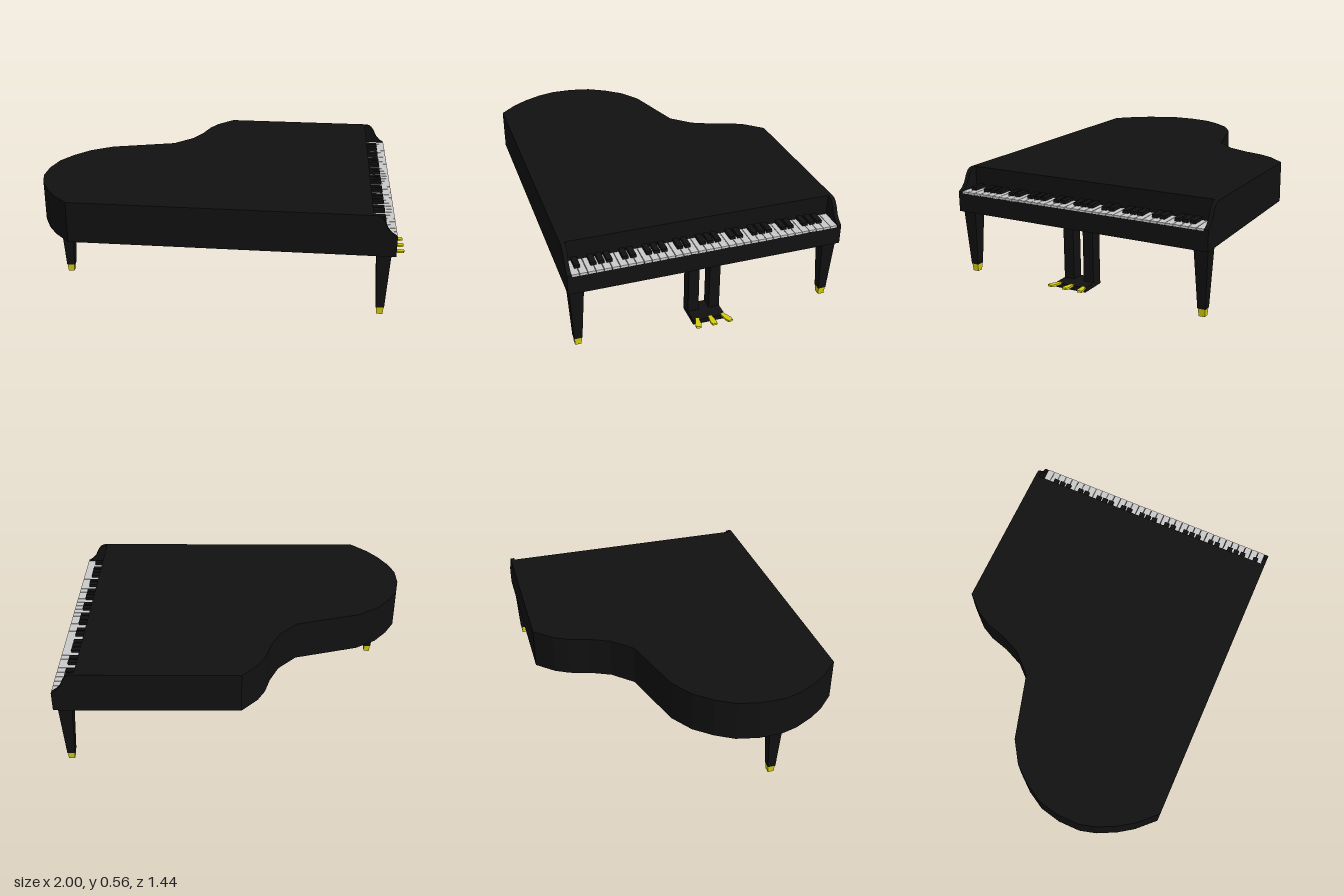
import * as THREE from 'three';

const material = (color) => new THREE.MeshStandardMaterial({ color, flatShading: true });

export function createModel() {
  const piano = new THREE.Group();
  piano.name = 'grandPiano';
  const black = material(0x111111);
  const gold = material(0xd8d010);
  const ivory = material(0xcccccc);

  function add(name, geometry, mat, x = 0, y = 0, z = 0, parent = piano) {
    const mesh = new THREE.Mesh(geometry, mat);
    mesh.name = name;
    mesh.position.set(x, y, z);
    parent.add(mesh);
    return mesh;
  }
  const extrude = (points, depth) => new THREE.ExtrudeGeometry(
    new THREE.Shape(points.map(([x, y]) => new THREE.Vector2(x, y))),
    { depth, bevelEnabled: false });

  // Curved case, drawn in plan (x, z) and raised to the lid
  const outline = [
    [0.767, -0.722], [-0.075, -0.722], [-0.16, -0.63], [-0.2, -0.555], [-0.23, -0.45],
    [-0.28, -0.34], [-0.38, -0.235], [-0.73, -0.135], [-0.845, -0.06], [-0.92, 0.03],
    [-0.975, 0.125], [-1, 0.24], [-1, 0.36], [-0.975, 0.45], [-0.925, 0.55],
    [-0.87, 0.63], [-0.78, 0.722], [0.767, 0.722],
  ];
  const caseGeometry = extrude(outline.map(([x, z]) => [x, -z]), 0.22);
  caseGeometry.rotateX(-Math.PI / 2);
  add('case', caseGeometry, black, 0, 0.345, 0);

  // Key bed and the scrolled cheeks at both of its ends
  add('keyBed', new THREE.BoxGeometry(0.123, 0.1, 1.41), black, 0.8285, 0.395, 0);
  const cheek = [
    [0.767, 0.345], [0.89, 0.345], [0.89, 0.452], [0.865, 0.468], [0.843, 0.492],
    [0.825, 0.53], [0.81, 0.551], [0.795, 0.561], [0.78, 0.565], [0.767, 0.565],
  ];
  for (const z of [-0.722, 0.7]) add('cheek', extrude(cheek, 0.022), black, 0, 0, z);

  // Keyboard: five octaves of white keys, black keys in threes and twos
  const keyboard = new THREE.Group();
  keyboard.name = 'keyboard';
  piano.add(keyboard);
  const count = 35, pitch = 1.4 / count;
  const whiteKey = new THREE.BoxGeometry(0.123, 0.012, pitch - 0.003);
  const blackKey = new THREE.BoxGeometry(0.075, 0.02, 0.029);
  for (let i = 0; i < count; i++) {
    add('whiteKey', whiteKey, ivory, 0.8285, 0.449, -0.7 + (i + 0.5) * pitch, keyboard);
    if (i > 1 && ![1, 5].includes(i % 7)) {
      add('blackKey', blackKey, black, 0.804, 0.462, -0.7 + i * pitch, keyboard);
    }
  }

  // Square tapered legs with gold feet
  const taper = (top, bottom, height) => {
    const g = new THREE.CylinderGeometry(top / Math.SQRT2, bottom / Math.SQRT2, height, 4);
    return g.rotateY(Math.PI / 4);
  };
  for (const [x, z] of [[0.83, -0.675], [0.83, 0.675], [-0.88, 0.37]]) {
    const leg = new THREE.Group();
    leg.name = 'leg';
    leg.position.set(x, 0, z);
    piano.add(leg);
    add('legPost', taper(0.074, 0.042, 0.307), black, 0, 0.1935, 0, leg);
    add('foot', taper(0.038, 0.032, 0.04), gold, 0, 0.02, 0, leg);
  }

  // Pedal lyre: two posts, a base and three fanned pedals
  const lyre = new THREE.Group();
  lyre.name = 'pedalLyre';
  piano.add(lyre);
  for (const z of [-0.048, 0.066]) {
    add('lyrePost', new THREE.BoxGeometry(0.065, 0.29, 0.057), black, 0.8175, 0.205, z, lyre);
  }
  add('lyreBase', new THREE.BoxGeometry(0.145, 0.025, 0.172), black, 0.8575, 0.054, 0.009, lyre);
  const pedalPlan = [[0, -0.009], [0.055, -0.016], [0.076, -0.012], [0.076, 0.012], [0.055, 0.016], [0, 0.009]];
  const pedalGeometry = extrude(pedalPlan, 0.01).rotateX(-Math.PI / 2);
  for (const side of [-1, 0, 1]) {
    const pedal = add('pedal', pedalGeometry, gold, 0.922, 0.06, 0.003 + side * 0.068, lyre);
    pedal.rotation.set(0, -side * 0.25, 0.08);
  }
  return piano;
}
